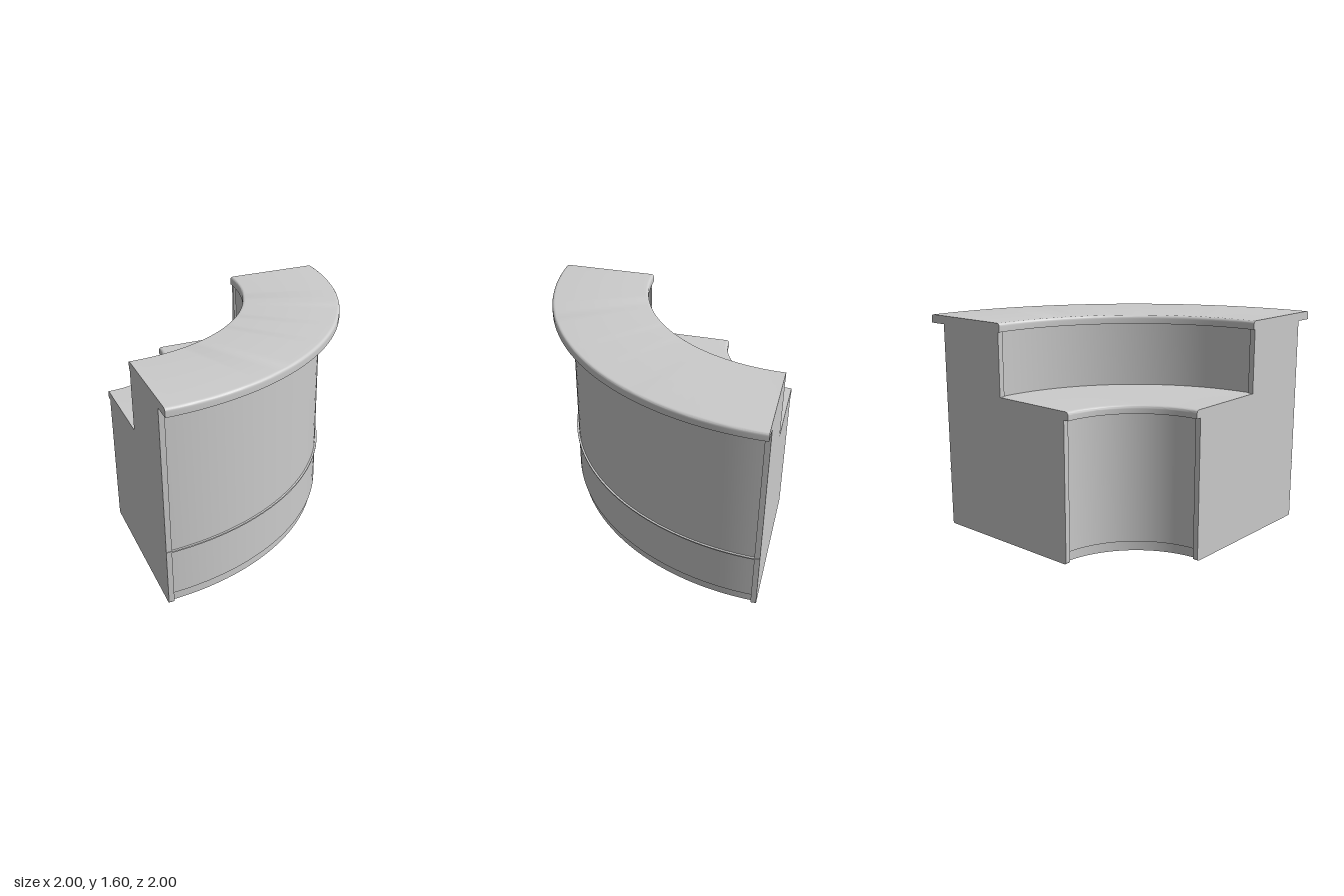
import * as THREE from 'three';
import { toCreasedNormals } from 'three/addons/utils/BufferGeometryUtils.js';

const SEGMENTS = 36;
const material = new THREE.MeshStandardMaterial({ color: 0xcccccc });

// Section outline from [radius, height, cornerRadius] points, counter-clockwise
function outline(corners) {
  const shape = new THREE.Shape();
  corners.forEach(([r, y, fillet = 0], i) => {
    const p = new THREE.Vector2(r, y);
    const toward = (c) => new THREE.Vector2(c[0], c[1]).sub(p).setLength(fillet).add(p);
    const a = toward(corners.at(i - 1));
    const b = toward(corners[(i + 1) % corners.length]);
    if (i === 0) shape.moveTo(a.x, a.y);
    else shape.lineTo(a.x, a.y);
    if (fillet) shape.quadraticCurveTo(p.x, p.y, b.x, b.y);
  });
  shape.closePath();
  return shape;
}

function addMesh(parent, name, geometry) {
  const mesh = new THREE.Mesh(geometry, material);
  mesh.name = name;
  parent.add(mesh);
  return mesh;
}

// Sweep a section through a quarter turn and close both ends
function quarterSweep(parent, name, corners) {
  const part = new THREE.Group();
  part.name = name;
  const shape = outline(corners);
  const points = shape.getPoints(6);
  if (!points[0].equals(points.at(-1))) points.push(points[0].clone());
  const sweep = new THREE.LatheGeometry(points, SEGMENTS, 0, Math.PI / 2);
  addMesh(part, name + 'Surface', toCreasedNormals(sweep, 0.6));
  // One cap faces -x, the other -z
  addMesh(part, name + 'LeftCap', new THREE.ShapeGeometry(shape, 6).rotateY(-Math.PI / 2));
  const cap = new THREE.ShapeGeometry(shape, 6);
  cap.index.array.reverse();
  cap.computeVertexNormals();
  addMesh(part, name + 'RightCap', cap);
  parent.add(part);
}

export function createModel() {
  const model = new THREE.Group();
  model.name = 'curvedCounter';
  // The centre of all the arcs sits in the back corner
  const counter = new THREE.Group();
  counter.name = 'counter';
  counter.position.set(-1, 0, -1);
  model.add(counter);

  // Curved carcass with recessed plinth on both sides
  quarterSweep(counter, 'carcass', [
    [1.83, 0], [1.83, 0.075], [1.85, 0.075], [1.85, 1.54], [1.28, 1.54],
    [1.28, 1.03], [0.66, 1.03], [0.66, 0.075], [0.68, 0.075], [0.68, 0],
  ]);

  // Stepped end panels, slightly proud of the curved walls
  const panelShape = outline([
    [1.86, 0, 0.02], [1.86, 1.54], [1.265, 1.54], [1.265, 1.02],
    [0.64, 1.02], [0.64, 0, 0.02],
  ]);
  const panel = new THREE.ExtrudeGeometry(panelShape, { depth: 0.04, bevelEnabled: false, curveSegments: 6 });
  addMesh(counter, 'rightEndPanel', panel);
  addMesh(counter, 'leftEndPanel', panel.clone().rotateY(-Math.PI / 2).translate(0.04, 0, 0));

  // Raised transaction top and lower worktop with rounded upper edges
  quarterSweep(counter, 'upperTop', [
    [2, 1.54], [2, 1.602, 0.025], [1.25, 1.602, 0.025], [1.25, 1.54],
  ]);
  quarterSweep(counter, 'lowerWorktop', [
    [1.28, 1.02], [1.28, 1.08], [0.6, 1.08, 0.025], [0.6, 1.02],
  ]);

  // Thin trim strip around the front
  quarterSweep(counter, 'trimStrip', [
    [1.845, 0.43], [1.865, 0.43], [1.865, 0.44], [1.845, 0.44],
  ]);

  return model;
}
